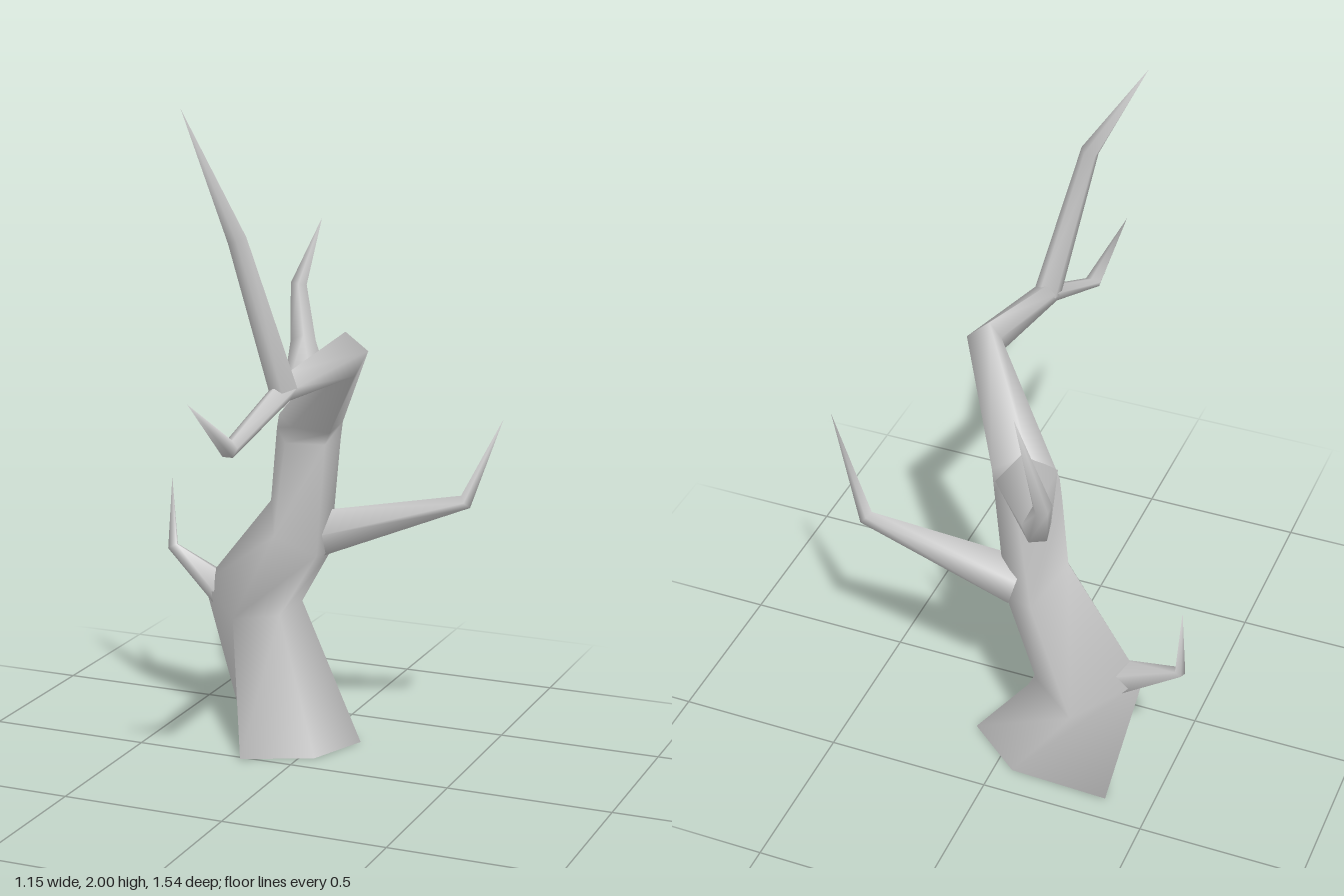
import * as THREE from 'three';

const bark = new THREE.MeshStandardMaterial({ color: 0xc8c8c8 });
bark.name = 'bark grey';

// Smooth skin over equal-sized rings of points, closed to a point at the tip
function loft(name, rings, tip) {
  const n = rings[0].length;
  const pos = rings.flat().concat([tip]).flat();
  const index = [];
  rings.forEach((ring, i) => {
    for (let j = 0; j < n; j++) {
      const a = i * n + j, b = i * n + (j + 1) % n;
      if (i === rings.length - 1) index.push(a, rings.length * n, b);
      else index.push(a, a + n, b, b, a + n, b + n);
    }
  });
  const g = new THREE.BufferGeometry();
  g.setAttribute('position', new THREE.Float32BufferAttribute(pos, 3));
  g.setIndex(index);
  g.computeVertexNormals();
  const mesh = new THREE.Mesh(g, bark);
  mesh.name = name;
  return mesh;
}

// Tapering crooked limb: nodes are [x, y, z, radius], the last node is the tip
function limb(name, nodes, ref, sides = 5) {
  const p = nodes.map(k => new THREE.Vector3(k[0], k[1], k[2]));
  const rings = [];
  for (let i = 0; i < p.length - 1; i++) {
    const t = p[i + 1].clone().sub(p[i]).normalize();
    if (i > 0) t.add(p[i].clone().sub(p[i - 1]).normalize()).normalize();
    const u = new THREE.Vector3(...ref).addScaledVector(t, -t.dot(new THREE.Vector3(...ref))).normalize();
    const v = u.clone().cross(t);
    const ring = [];
    for (let j = 0; j < sides; j++) {
      const a = (j / sides) * Math.PI * 2;
      ring.push(p[i].clone().addScaledVector(u, Math.cos(a) * nodes[i][3])
        .addScaledVector(v, Math.sin(a) * nodes[i][3]).toArray());
    }
    rings.push(ring);
  }
  return loft(name, rings, p[p.length - 1].toArray());
}

export function createModel() {
  const group = new THREE.Group();
  group.name = 'bareTree';

  // Trunk cross-sections run left, back, right, front right, front,
  // then bend over into the forward bough
  const base = [[-0.36, 0, -0.42], [-0.055, 0, -0.41], [0.12, 0, -0.27], [0.045, 0, -0.08], [-0.16, 0, 0.015]];
  const trunk = [
    base,
    [[-0.44, 0.43, -0.34], [-0.28, 0.38, -0.515], [-0.13, 0.39, -0.4], [-0.13, 0.39, -0.22], [-0.25, 0.39, -0.135]],
    [[-0.18, 0.74, -0.27], [-0.1, 0.62, -0.365], [0.005, 0.59, -0.3], [0.0, 0.6, -0.2], [-0.12, 0.66, -0.15]],
    [[-0.16, 0.97, -0.27], [-0.06, 0.93, -0.36], [0.045, 0.95, -0.28], [0.03, 0.95, -0.19], [-0.09, 0.95, -0.17]],
    [[-0.14, 1.02, -0.24], [-0.05, 1.09, -0.26], [0.06, 1.01, -0.26], [0.05, 0.99, -0.18], [-0.07, 1.0, -0.17]],
    [[0.135, 1.28, 0.0], [0.165, 1.335, -0.015], [0.23, 1.28, -0.03], [0.2, 1.21, 0.0], [0.15, 1.21, 0.01]],
    [[0.09, 1.24, 0.33], [0.12, 1.27, 0.31], [0.165, 1.24, 0.34], [0.15, 1.205, 0.36], [0.1, 1.2, 0.35]],
    [[0.055, 1.12, 0.605], [0.08, 1.135, 0.59], [0.105, 1.12, 0.61], [0.095, 1.095, 0.62], [0.065, 1.095, 0.62]],
  ];
  group.add(loft('trunkAndForwardBough', trunk, [0.03, 1.265, 0.765]));

  // Underside of the trunk
  const foot = new THREE.BufferGeometry();
  foot.setAttribute('position', new THREE.Float32BufferAttribute(base.flat(), 3));
  foot.setIndex([0, 1, 2, 0, 2, 3, 0, 3, 4]);
  foot.computeVertexNormals();
  const footMesh = new THREE.Mesh(foot, bark);
  footMesh.name = 'trunkFoot';
  group.add(footMesh);

  // Side limbs rooted inside the trunk and bough
  group.add(
    limb('tallTwig', [[0.125, 1.23, 0.34, 0.042], [0.045, 1.66, 0.47, 0.028], [-0.15, 2, 0.41]], [1, 0, 0]),
    limb('backBough', [[-0.06, 1.0, -0.28, 0.095], [-0.23, 1.16, -0.64, 0.042],
      [-0.29, 1.33, -0.75, 0.027], [-0.19, 1.555, -0.7]], [1, 0, 0]),
    limb('leftBough', [[-0.03, 0.65, -0.29, 0.075], [0.43, 0.783, -0.335, 0.024], [0.57, 1.065, -0.25]], [0, 0, 1]),
    limb('rightTwig', [[-0.37, 0.42, -0.33, 0.055], [-0.56, 0.53, -0.365, 0.018], [-0.563, 0.755, -0.37]], [0, 0, 1]),
  );
  return group;
}
